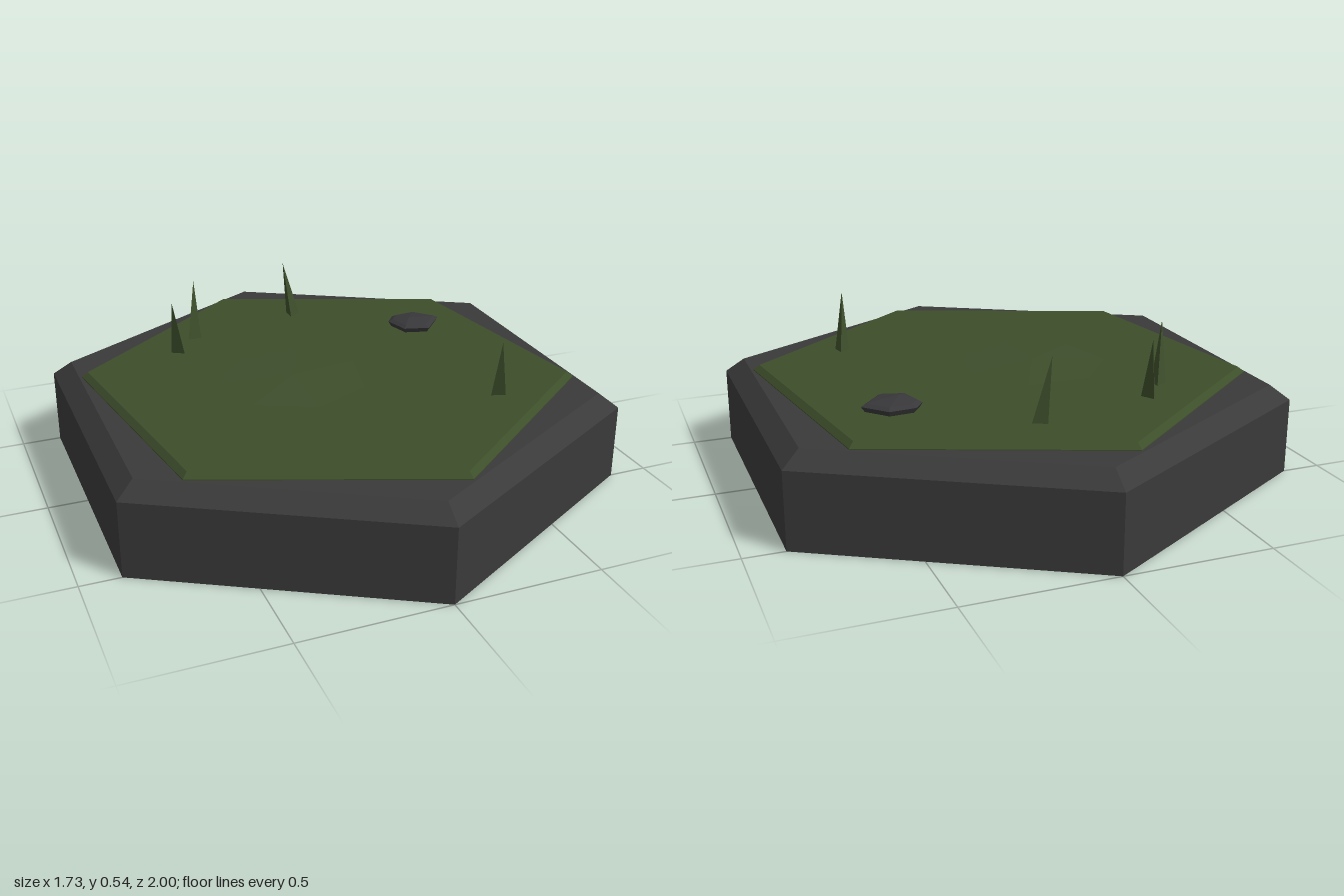
import * as THREE from 'three';

const mat = (name, color) => {
  const m = new THREE.MeshStandardMaterial({ color, flatShading: true });
  m.name = name;
  return m;
};

export function createModel() {
  const stone = mat('dark stone', 0x3a3a3a);
  const grass = mat('moss green', 0x3d4e2b);
  const rockGrey = mat('rock grey', 0x38383a);
  const model = new THREE.Group();
  model.name = 'hexTile';

  const add = (name, geometry, material) => {
    const mesh = new THREE.Mesh(geometry, material);
    mesh.name = name;
    model.add(mesh);
    return mesh;
  };
  // Closed hexagonal solid from a radius/height profile
  const hexagon = (profile) =>
    new THREE.LatheGeometry(profile.map(([r, y]) => new THREE.Vector2(r, y)), 6).toNonIndexed();

  // Bevelled stone slab
  add('stoneBase', hexagon([[0, 0], [1, 0], [1, 0.26], [0.93, 0.31], [0, 0.31]]), stone);

  // Twisted grass layer
  add('grassLayer', hexagon([[0, 0.305], [0.857, 0.305], [0.857, 0.313], [0.835, 0.33], [0, 0.33]]), grass)
    .rotation.y = 0.147;

  // Very low mound on the grass
  add('grassMound', new THREE.ConeGeometry(0.3, 0.014, 7), grass).position.set(-0.13, 0.335, 0.0);

  // Faceted pebble: irregular outline, shrunk towards an off-centre crown
  const outline = [[0.375, -0.315], [0.41, -0.36], [0.5, -0.367], [0.57, -0.29], [0.49, -0.2], [0.4, -0.225]];
  const levels = [[0.85, 0.325], [1, 0.348], [0.82, 0.357]];
  const pos = [], index = [], n = outline.length;
  for (const [s, y] of levels)
    for (const [x, z] of outline) pos.push(0.465 + (x - 0.465) * s, y, -0.285 + (z + 0.285) * s);
  pos.push(0.44, 0.369, -0.275);
  for (let i = 0; i < n; i++) {
    const j = (i + 1) % n;
    for (let l = 0; l < levels.length - 1; l++) {
      const a = l * n + i, b = l * n + j;
      index.push(a, a + n, b, b, a + n, b + n);
    }
    index.push(2 * n + i, 3 * n, 2 * n + j);
  }
  const pebble = new THREE.BufferGeometry();
  pebble.setAttribute('position', new THREE.Float32BufferAttribute(pos, 3));
  pebble.setIndex(index);
  pebble.computeVertexNormals();
  rockGrey.side = THREE.DoubleSide;
  add('pebble', pebble, rockGrey);

  // Leaning three-sided grass blades: base x, z, tip x, y, z, turn
  const blades = [
    [-0.43, -0.37, -0.46, 0.535, -0.325, 2.6],
    [-0.345, -0.475, -0.325, 0.535, -0.52, 3.14],
    [0.08, -0.568, 0.045, 0.54, -0.575, 1.6],
    [0.465, 0.375, 0.445, 0.535, 0.425, 2.8],
  ];
  for (const [bx, bz, tx, ty, tz, turn] of blades) {
    const y0 = 0.32, h = ty - y0;
    const blade = new THREE.ConeGeometry(0.03, h, 3).rotateY(turn).translate(0, h / 2, 0);
    // Shear the cone so its point leans to the tip
    const p = blade.attributes.position;
    for (let i = 0; i < p.count; i++) {
      const k = p.getY(i) / h;
      p.setX(i, p.getX(i) + (tx - bx) * k);
      p.setZ(i, p.getZ(i) + (tz - bz) * k);
    }
    blade.computeVertexNormals();
    add('grassBlade', blade, grass).position.set(bx, y0, bz);
  }
  return model;
}
